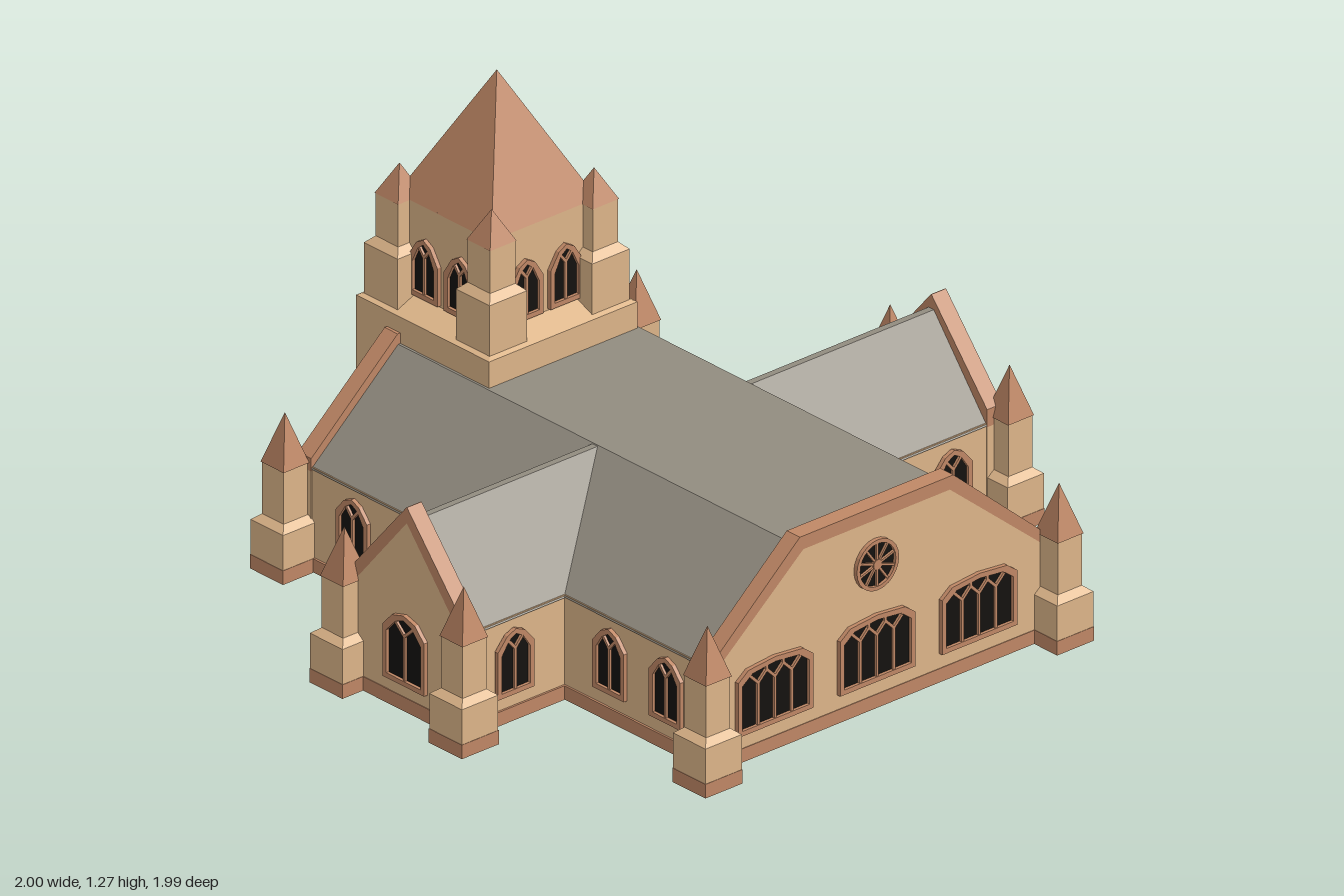
import * as THREE from 'three';

const mat = (color) => new THREE.MeshStandardMaterial({ color, flatShading: true });
const stone = mat(0xdeb68a), trim = mat(0xc08866), slate = mat(0x928c80);
const glass = mat(0x14120f), wood = mat(0x5a3a28);
const CZ = 0.0175;               // middle of the hall and tower in z
const TX = 0.131;                // middle of the transepts in x
const TOWER_X = -0.535;

function add(parent, name, geo, material, x = 0, y = 0, z = 0) {
  const m = new THREE.Mesh(geo, material);
  m.name = name;
  m.position.set(x, y, z);
  parent.add(m);
  return m;
}

// box given by its limits
function box(parent, name, material, x0, x1, y0, y1, z0, z1) {
  return add(parent, name, new THREE.BoxGeometry(x1 - x0, y1 - y0, z1 - z0), material,
    (x0 + x1) / 2, (y0 + y1) / 2, (z0 + z1) / 2);
}

// square tapered block; a top of 0 makes a pyramid
function taper(parent, name, material, bottom, top, y0, y1, x, z) {
  const geo = new THREE.CylinderGeometry(top * Math.SQRT2, bottom * Math.SQRT2, y1 - y0, 4);
  geo.rotateY(Math.PI / 4);
  return add(parent, name, geo, material, x, (y0 + y1) / 2, z);
}

const poly = (pts) => new THREE.Shape(pts.map(([x, y]) => new THREE.Vector2(x, y)));
const mirror = (half) => [...half, ...half.map(([x, y]) => [-x, y]).reverse()];
const extrude = (shape, depth) =>
  new THREE.ExtrudeGeometry(shape, { depth, bevelEnabled: false });

// gable wall with a coping band along its top edges
function gable(name, wall, outer, depth) {
  const g = new THREE.Group();
  g.name = name;
  const e = wall[0][0], out = mirror(outer), inn = mirror(wall);
  add(g, 'gableWall', extrude(poly([[e, 0.04], ...inn, [-e, 0.04]]), depth), stone);
  add(g, 'gableCoping', extrude(poly([...out, ...inn.slice().reverse()]), depth), trim);
  return g;
}

// arched outline, standing on y = 0
function archPoints(w, h, shoulder) {
  const a = w / 2, c = Math.min(0.035, w * 0.26);
  return [[-a, 0], [a, 0], [a, h - shoulder], [a - c, h - shoulder * 0.25], [0, h],
    [-a + c, h - shoulder * 0.25], [-a, h - shoulder]];
}

function bar(parent, x0, y0, x1, y1, t = 0.008) {
  const m = add(parent, 'tracery',
    new THREE.BoxGeometry(Math.hypot(x1 - x0, y1 - y0), t, 0.008), trim,
    (x0 + x1) / 2, (y0 + y1) / 2, 0.006);
  m.rotation.z = Math.atan2(y1 - y0, x1 - x0);
}

function place(parent, g, x, y, z, turn) {
  g.position.set(x, y, z);
  g.rotation.y = turn;
  parent.add(g);
}

// arched window with frame, dark glass and forked mullions
function archWindow(w, h, lights, shoulder = 0.05) {
  const g = new THREE.Group();
  g.name = 'archedWindow';
  const f = 0.014;
  const inner = archPoints(w - 2 * f, h - 2 * f, shoulder).map(([x, y]) => [x, y + f]);
  const frame = poly(archPoints(w, h, shoulder));
  frame.holes.push(poly(inner));
  add(g, 'windowFrame', extrude(frame, 0.012), trim);
  add(g, 'windowGlass', new THREE.ShapeGeometry(poly(inner)), glass, 0, 0, 0.003);
  const pitch = (w - 2 * f) / lights, fork = h * 0.7, tip = h * 0.85;
  for (let i = 1; i < lights; i++) {
    const x = -w / 2 + f + i * pitch;
    bar(g, x, f, x, fork);
    for (const s of [-1, 1]) bar(g, x, fork, x + s * pitch / 2, tip);
  }
  for (let i = 0; i < lights; i++) {
    const x = -w / 2 + f + (i + 0.5) * pitch;
    bar(g, x, tip, x, h - f - (Math.abs(x) > w * 0.25 ? shoulder * 0.35 : 0));
  }
  return g;
}

// round window with radiating spokes
function roseWindow(r) {
  const g = new THREE.Group();
  g.name = 'roseWindow';
  const ring = new THREE.Shape().absarc(0, 0, r, 0, Math.PI * 2);
  ring.holes.push(new THREE.Path().absarc(0, 0, r - 0.011, 0, Math.PI * 2));
  add(g, 'roseFrame', new THREE.ExtrudeGeometry(ring,
    { depth: 0.012, bevelEnabled: false, curveSegments: 12 }), trim);
  add(g, 'roseGlass', new THREE.CircleGeometry(r - 0.005, 24), glass, 0, 0, 0.003);
  for (let i = 0; i < 10; i++) {
    const a = (i + 0.5) * Math.PI / 5;
    bar(g, 0, 0, Math.cos(a) * (r - 0.008), Math.sin(a) * (r - 0.008), 0.006);
  }
  add(g, 'roseHub', new THREE.CylinderGeometry(0.015, 0.015, 0.012, 10).rotateX(Math.PI / 2),
    trim, 0, 0, 0.006);
  return g;
}

// stepped corner buttress with a pyramid cap
function buttress(parent, x, z) {
  const g = new THREE.Group();
  g.name = 'buttress';
  taper(g, 'buttressPlinth', trim, 0.063, 0.063, 0, 0.04, 0, 0);
  taper(g, 'buttressBase', stone, 0.062, 0.062, 0.04, 0.14, 0, 0);
  taper(g, 'buttressSlope', stone, 0.062, 0.041, 0.14, 0.157, 0, 0);
  taper(g, 'buttressShaft', stone, 0.041, 0.041, 0.157, 0.305, 0, 0);
  taper(g, 'buttressCap', trim, 0.044, 0, 0.305, 0.447, 0, 0);
  place(parent, g, x, 0, z, 0);
}

export function createModel() {
  const root = new THREE.Group();
  root.name = 'church';
  const Q = Math.PI / 2;

  // Hall: plinth, walls, flat-topped roof
  box(root, 'hallPlinth', trim, -0.672, 0.912, 0.001, 0.04, CZ - 0.56, CZ + 0.56);
  box(root, 'hallWalls', stone, -0.64, 0.88, 0.04, 0.295, CZ - 0.554, CZ + 0.554);
  const roof = extrude(poly(mirror([[0.557, 0.29], [0.26, 0.545]])), 1.5).rotateY(Q);
  add(root, 'hallRoof', roof, slate, -0.63, 0, CZ);
  for (const x of [-0.67, 0.86]) {
    const g = gable('hallGable', [[0.557, 0.283], [0.25, 0.537]],
      [[0.557, 0.32], [0.262, 0.575]], 0.05);
    place(root, g, x, 0, CZ, Q);
  }

  // Transepts crossing the hall
  const hw = 0.213;
  box(root, 'transeptPlinth', trim, TX - hw - 0.003, TX + hw + 0.003, 0, 0.04, -0.92, 0.924);
  box(root, 'transeptWalls', stone, TX - hw + 0.003, TX + hw - 0.003, 0.04, 0.295, -0.9, 0.9);
  add(root, 'transeptRoof', extrude(poly(mirror([[hw, 0.288], [0.01, 0.543]])), 1.76),
    slate, TX, 0, -0.88);
  for (const z of [-0.917, 0.872]) {
    const g = gable('transeptGable', [[hw, 0.285], [0.001, 0.537]],
      [[hw, 0.335], [0.001, 0.583]], 0.05);
    place(root, g, TX, 0, z, 0);
  }

  // Buttresses on hall and transept corners
  for (const s of [-1, 1]) {
    for (const x of [-0.672, 0.935]) buttress(root, x, CZ + s * 0.6);
    for (const t of [-1, 1]) buttress(root, TX + t * 0.227, s * 0.931);
  }

  // Windows of hall sides, transept ends and transept sides
  for (const s of [-1, 1]) {
    const turn = s > 0 ? 0 : Math.PI;
    for (const x of [-0.457, -0.238, 0.52, 0.735])
      place(root, archWindow(0.12, 0.185, 2), x, 0.083, CZ + s * 0.555, turn);
    place(root, archWindow(0.158, 0.2, 2), TX, 0.078, s > 0 ? 0.922 : -0.917, turn);
    for (const z of [-0.745, 0.75])
      place(root, archWindow(0.125, 0.185, 2), TX + s * hw, 0.08, z, s * Q);
    place(root, archWindow(0.125, 0.185, 2), -0.67, 0.083, CZ + s * 0.41, -Q);
  }
  for (const i of [-1, 0, 1])
    place(root, archWindow(0.257, 0.19, 4, 0.035), 0.91, 0.082, CZ + 0.006 + i * 0.348, Q);
  place(root, roseWindow(0.072), 0.91, 0.414, CZ + 0.006, Q);

  // Tower: base, ledge, belfry, spire
  const tower = new THREE.Group();
  tower.name = 'tower';
  tower.position.set(TOWER_X, 0, CZ);
  root.add(tower);
  taper(tower, 'towerBase', stone, 0.253, 0.253, 0, 0.62, 0, 0);
  taper(tower, 'towerLedge', stone, 0.253, 0.182, 0.62, 0.65, 0, 0);
  taper(tower, 'belfry', stone, 0.18, 0.18, 0.64, 0.915, 0, 0);
  taper(tower, 'spire', trim, 0.181, 0, 0.913, 1.272, 0, 0);
  for (const x of [-0.175, 0.175]) for (const z of [-0.175, 0.175]) {
    taper(tower, 'pierBase', stone, 0.064, 0.064, 0.62, 0.77, x, z);
    taper(tower, 'pierSlope', stone, 0.064, 0.043, 0.77, 0.79, x, z);
    taper(tower, 'pierShaft', stone, 0.043, 0.043, 0.79, 0.915, x, z);
    taper(tower, 'pinnacle', trim, 0.045, 0, 0.912, 1.0, x, z);
  }
  for (let i = 0; i < 4; i++) {
    const side = new THREE.Group();
    side.name = 'belfrySide';
    for (const x of [-0.067, 0.067])
      place(side, archWindow(0.11, 0.17, 2, 0.06), x, 0.655, 0.18, 0);
    place(tower, side, 0, 0, 0, i * Q);
  }

  // Entrance: arched door, rose window above, steps
  const door = new THREE.Group();
  door.name = 'entrance';
  const frame = poly(archPoints(0.17, 0.23, 0.1));
  const leaf = archPoints(0.13, 0.2, 0.085);
  frame.holes.push(poly(leaf));
  add(door, 'doorFrame', extrude(frame, 0.014), trim);
  add(door, 'doorLeaf', new THREE.ShapeGeometry(poly(leaf)), wood, 0, 0, 0.004);
  bar(door, 0, 0, 0, 0.2, 0.006);
  place(tower, door, -0.253, 0.085, 0, -Q);
  place(tower, roseWindow(0.072), -0.253, 0.414, 0, -Q);
  for (let i = 0; i < 5; i++)
    box(root, 'step', trim, -1 + i * 0.045, -0.78, i * 0.0175, (i + 1) * 0.0175,
      CZ - 0.128, CZ + 0.128);

  return root;
}
